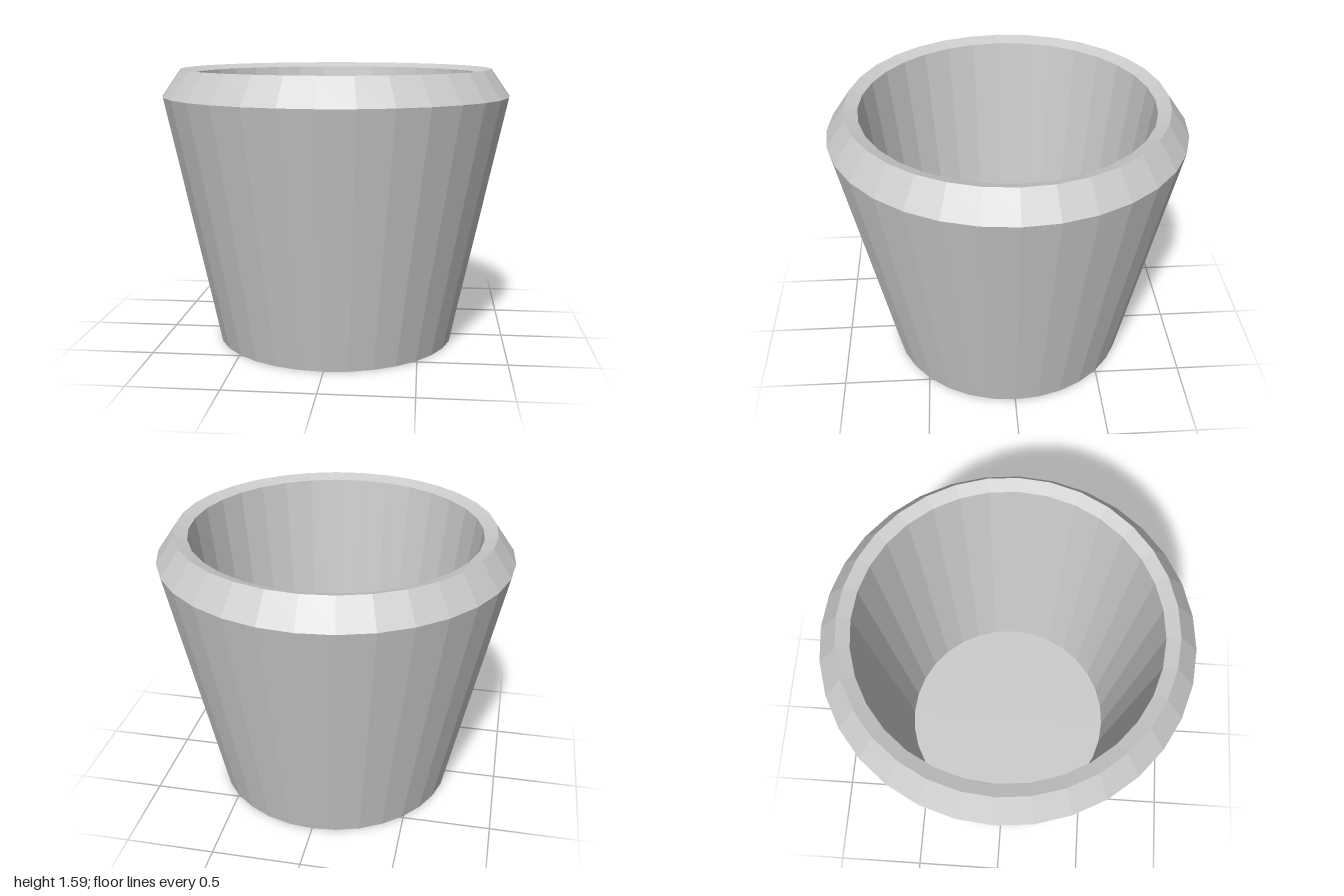
import * as THREE from 'three';

const SIDES = 32;

export function createModel() {
  const group = new THREE.Group();
  group.name = 'pot';
  const material = new THREE.MeshStandardMaterial({ color: 0xcccccc, flatShading: true });

  // Surface of revolution from [radius, height] points, with a corner on each axis
  function addRing(name, profile) {
    const points = profile.map(([r, y]) => new THREE.Vector2(r, y));
    const mesh = new THREE.Mesh(new THREE.LatheGeometry(points, SIDES), material);
    mesh.name = name;
    group.add(mesh);
  }

  // Underside and tapered outer wall
  addRing('outerWall', [[0, 0], [0.697, 0], [1, 1.44]]);

  // Bevelled collar and the lip that dips slightly inward
  addRing('rim', [[1, 1.44], [0.893, 1.593], [0.82, 1.568]]);

  // Straight tapered inside and flat floor
  addRing('innerWall', [[0.82, 1.568], [0.627, 0.07], [0, 0.07]]);

  return group;
}
